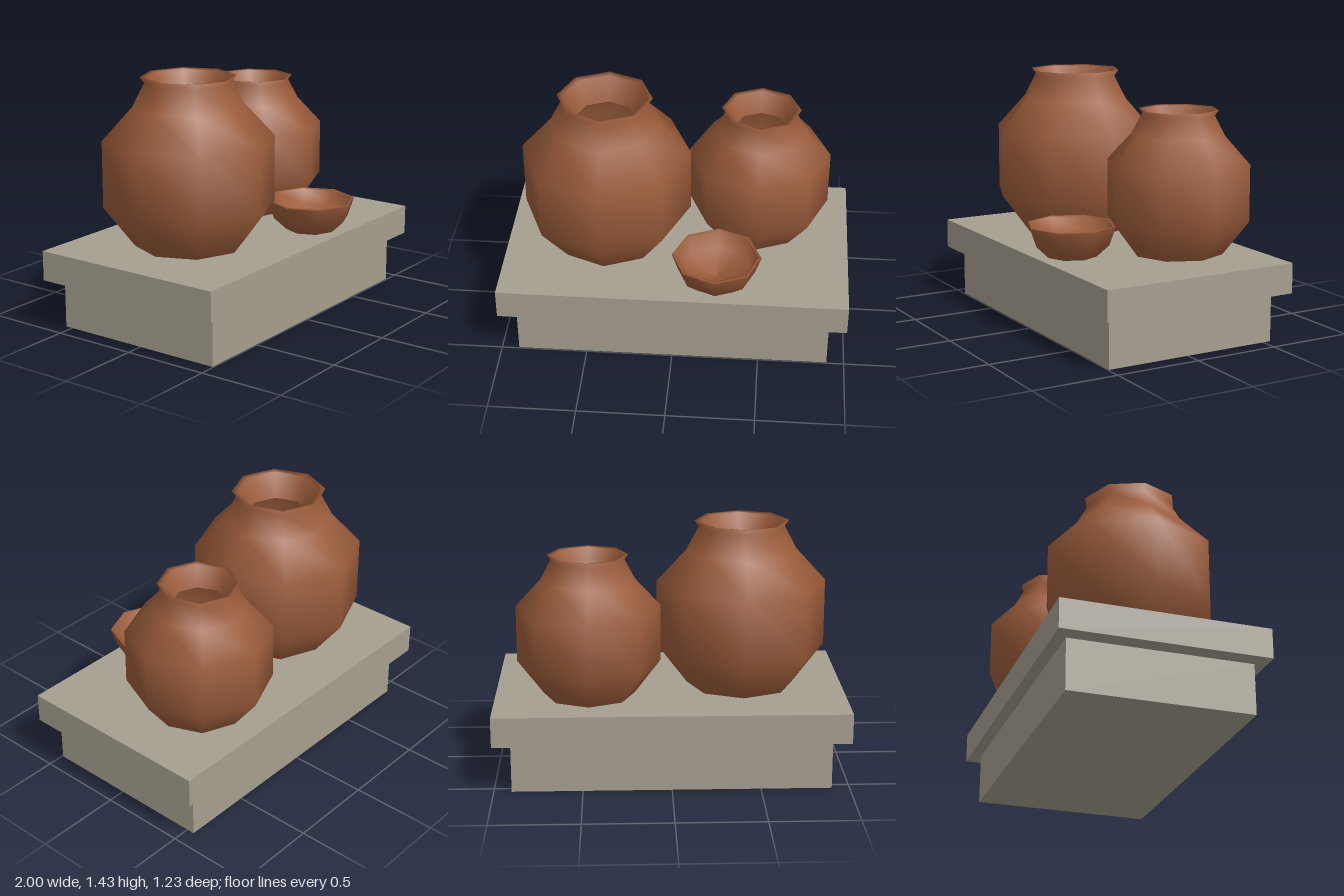
import * as THREE from 'three';

const stone = new THREE.MeshStandardMaterial({ name: 'stone', color: 0xa69f90 });
const clay = new THREE.MeshStandardMaterial({ name: 'clay', color: 0x9a5b3a, side: THREE.DoubleSide });

const SLAB_TOP = 0.462;
const SIDES = 8;

// Box given by its size, bottom height and z centre
function block(name, w, h, d, y, z) {
  const mesh = new THREE.Mesh(new THREE.BoxGeometry(w, h, d), stone);
  mesh.name = name;
  mesh.position.set(0, y + h / 2, z);
  return mesh;
}

// Eight-sided turned vessel standing on the slab, with a flat foot
function vessel(name, profile, x, z, scale = 1) {
  const group = new THREE.Group();
  group.name = name;
  const points = profile.map(([r, y]) => new THREE.Vector2(r, y));
  const wall = new THREE.Mesh(new THREE.LatheGeometry(points, SIDES), clay);
  wall.name = name + 'Wall';
  const foot = new THREE.Mesh(new THREE.CircleGeometry(profile[0][0], SIDES), clay);
  foot.name = name + 'Foot';
  foot.rotation.x = Math.PI / 2;
  group.add(wall, foot);
  group.position.set(x, SLAB_TOP + 0.005, z);
  group.scale.setScalar(scale);
  return group;
}

export function createModel() {
  const model = new THREE.Group();
  model.name = 'potsOnPlinth';

  // Plinth
  model.add(block('plinthBase', 1.8, 0.29, 1.04, 0, -0.026));
  model.add(block('plinthSlab', 2, SLAB_TOP - 0.29, 1.175, 0.29, -0.027));

  // Jars: foot, belly, shoulder, neck, flared rim, then the inside of the neck
  const jar = [
    [0.31, 0], [0.485, 0.23], [0.485, 0.612], [0.315, 0.797], [0.245, 0.93],
    [0.27, 0.963], [0.235, 0.958], [0.175, 0.82],
  ];
  model.add(vessel('largeJar', jar, -0.413, -0.03));
  model.add(vessel('smallJar', jar, 0.463, -0.205, 0.843));

  // Bowl: outside, rim, then the hollow
  const bowl = [
    [0.145, 0], [0.22, 0.07], [0.255, 0.172], [0.25, 0.18],
    [0.232, 0.174], [0.195, 0.09], [0, 0.03],
  ];
  model.add(vessel('bowl', bowl, 0.245, 0.357));

  return model;
}
